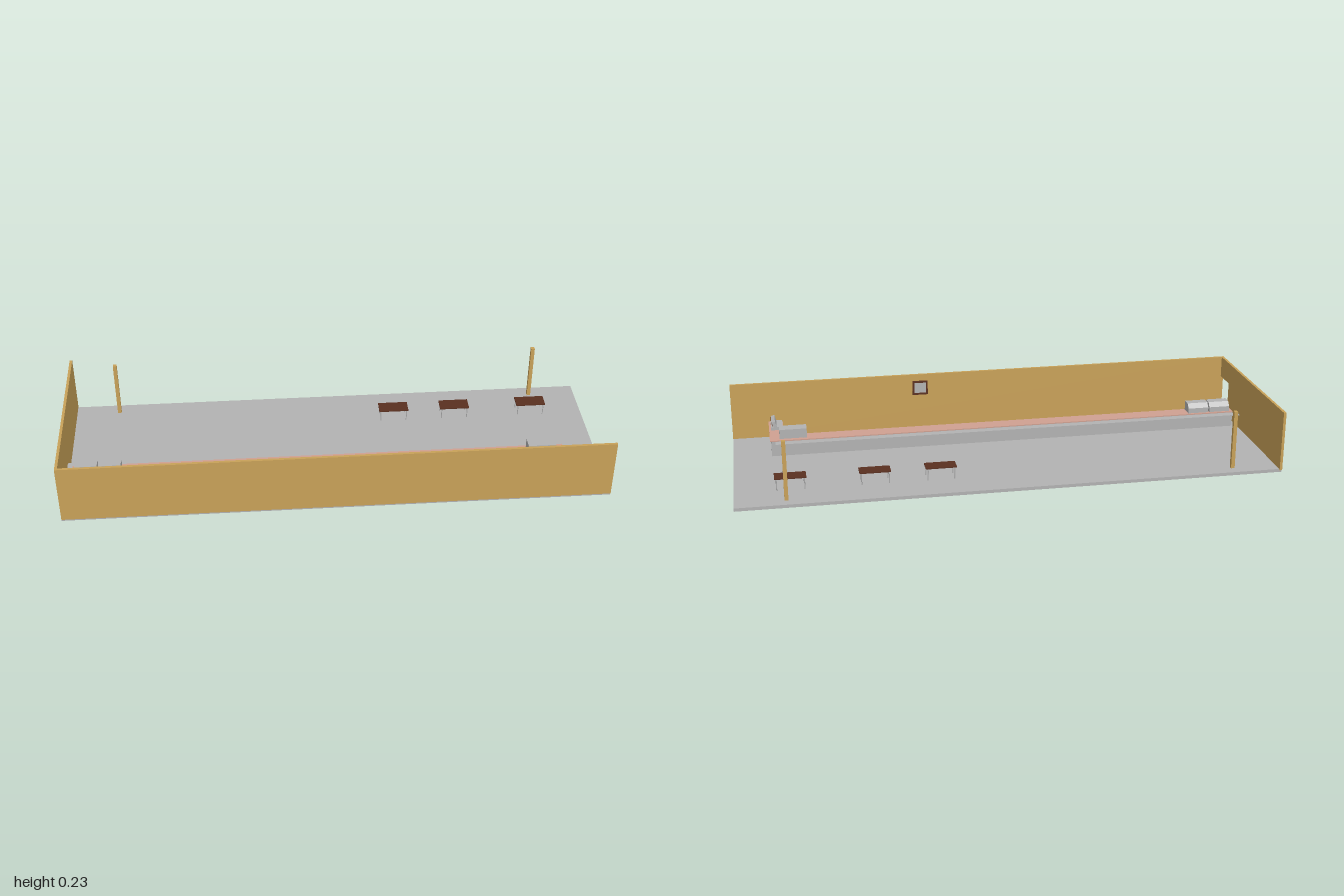
import * as THREE from 'three';

export function createModel() {
  const root = new THREE.Group();
  const material = (name, color) => {
    const m = new THREE.MeshStandardMaterial({ color });
    m.name = name;
    return m;
  };
  const wood = material('ochre wood', 0xc8a158);
  const grey = material('concrete grey', 0xb2b2b2);
  const salmon = material('salmon counter', 0xcfa091);
  const brown = material('dark brown', 0x5a3020);

  const add = (name, geometry, mat, parent = root) => {
    const mesh = new THREE.Mesh(geometry, mat);
    mesh.name = name;
    parent.add(mesh);
    return mesh;
  };
  // Box given by its extents on each axis
  const box = (name, x0, x1, y0, y1, z0, z1, mat, parent) => {
    const g = new THREE.BoxGeometry(x1 - x0, y1 - y0, z1 - z0);
    g.translate((x0 + x1) / 2, (y0 + y1) / 2, (z0 + z1) / 2);
    return add(name, g, mat, parent);
  };
  const extrude = (points, depth) => new THREE.ExtrudeGeometry(
    new THREE.Shape(points.map(([a, b]) => new THREE.Vector2(a, b))),
    { depth, bevelEnabled: false });
  // Side profile (z, y) stretched from x0 to x1
  const sideProfile = (name, points, x0, x1, mat, parent) => add(name,
    extrude(points, x1 - x0).rotateY(-Math.PI / 2).translate(x1, 0, 0), mat, parent);
  // Floor plan (x, z) raised from y0 to y1
  const plan = (name, points, y0, y1, mat, parent) => add(name,
    extrude(points.map(([x, z]) => [x, -z]), y1 - y0).rotateX(-Math.PI / 2).translate(0, y0, 0), mat, parent);
  const group = (name) => {
    const g = new THREE.Group();
    g.name = name;
    root.add(g);
    return g;
  };

  // Floor, walls and posts
  box('floor', -1, 1, 0, 0.012, -0.343, 0.343, grey);
  box('frontWall', -1, 1, 0.008, 0.234, 0.337, 0.347, wood);
  sideProfile('sideWall', [[-0.347, 0.008], [0.24, 0.008], [0.24, 0.152],
    [0.337, 0.152], [0.337, 0.234], [-0.347, 0.234]], -1, -0.99, wood);
  for (const x of [-0.823, 0.817]) {
    box('post', x - 0.007, x + 0.007, 0.012, 0.234, -0.305, -0.291, wood);
  }

  // L-shaped counter with a tray rail along the public side
  const counter = group('counter');
  plan('counterBase', [[-0.97, 0.126], [0.855, 0.126], [0.855, 0.337],
    [0.81, 0.337], [0.81, 0.178], [-0.97, 0.178]], 0.012, 0.071, grey, counter);
  plan('counterTop', [[-0.97, 0.122], [0.86, 0.122], [0.86, 0.337],
    [0.805, 0.337], [0.805, 0.183], [-0.97, 0.183]], 0.071, 0.075, salmon, counter);
  box('trayRail', -0.99, 0.84, 0.065, 0.069, 0.095, 0.126, grey, counter);

  // Two slant-fronted display cases
  for (const x of [-0.957, -0.87]) {
    sideProfile('displayCase', [[0.13, 0.075], [0.178, 0.075], [0.178, 0.112],
      [0.145, 0.112], [0.13, 0.095]], x, x + 0.082, grey);
  }

  // Counter cabinet
  box('cabinet', 0.72, 0.823, 0.078, 0.114, 0.131, 0.178, grey);
  for (const x of [0.73, 0.807]) for (const z of [0.136, 0.167]) {
    box('cabinetFoot', x, x + 0.006, 0.075, 0.078, z, z + 0.006, grey);
  }

  // Cash register: drawer and leaning screen
  const register = group('register');
  box('drawer', 0.807, 0.852, 0.075, 0.087, 0.237, 0.316, grey, register);
  const lean = extrude([[0.83, 0.087], [0.842, 0.087], [0.85, 0.106], [0.836, 0.11]], 0.079);
  add('screen', lean.translate(0, 0, 0.237), grey, register);
  const face = box('screenFace', -0.001, 0.001, -0.009, 0.009, 0.243, 0.31, brown, register);
  face.position.set(0.847, 0.0965, 0);
  face.rotation.z = -0.4;

  // Framed picture on the front wall
  const picture = group('picture');
  const frame = new THREE.Shape([[0.23, 0.152], [0.29, 0.152], [0.29, 0.208], [0.23, 0.208]]
    .map(([x, y]) => new THREE.Vector2(x, y)));
  frame.holes.push(new THREE.Path([[0.237, 0.159], [0.237, 0.201], [0.283, 0.201], [0.283, 0.159]]
    .map(([x, y]) => new THREE.Vector2(x, y))));
  add('pictureFrame', new THREE.ExtrudeGeometry(frame, { depth: 0.007, bevelEnabled: false })
    .translate(0, 0, 0.33), brown, picture);
  box('picturePanel', 0.237, 0.283, 0.159, 0.201, 0.333, 0.337, grey, picture);

  // Three tables on thin legs
  for (const x of [0.255, 0.495, 0.798]) {
    const table = group('table');
    box('tableTop', x - 0.057, x + 0.057, 0.055, 0.059, -0.216, -0.16, brown, table);
    for (const dx of [-0.05, 0.05]) for (const z of [-0.213, -0.163]) {
      const leg = new THREE.CylinderGeometry(0.0018, 0.0018, 0.043, 8);
      add('tableLeg', leg.translate(x + dx, 0.0335, z), grey, table);
    }
  }
  return root;
}
